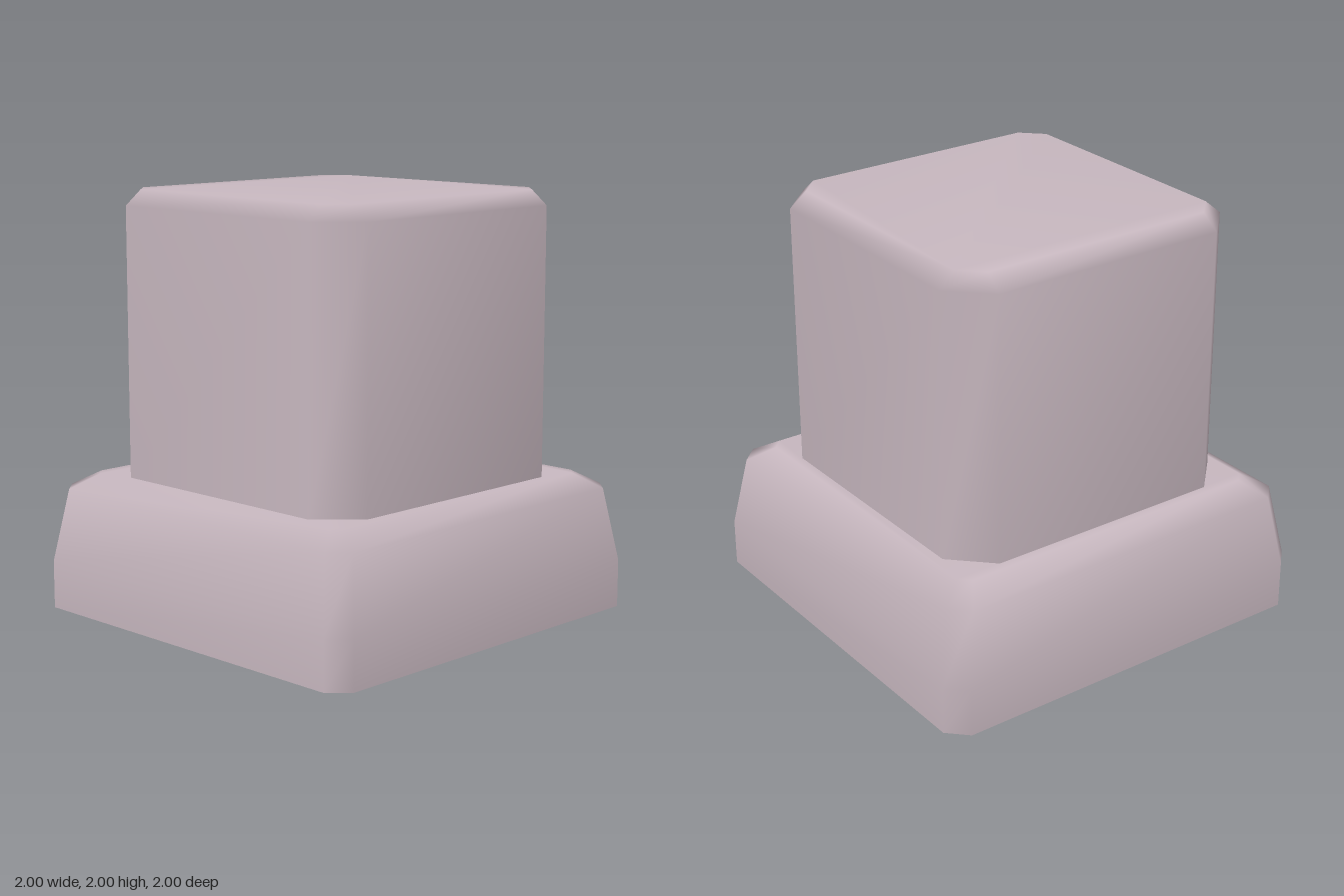
import * as THREE from 'three';

// Square outline with cut corners: half = half width, cut = corner cut
function outline(half, cut) {
  const k = half - cut;
  return [[half, -k], [half, k], [k, half], [-k, half], [-half, k], [-half, -k], [-k, -half], [k, -half]];
}

// Stack of outlines with smooth sides and top, and a hard-edged flat bottom
function bevelledBlock(rings) {
  const pos = [], idx = [], n = 8;
  const addRing = ([y, half, cut]) => outline(half, cut).forEach(([x, z]) => pos.push(x, y, z));
  rings.forEach(addRing);
  for (let r = 0; r < rings.length - 1; r++) {
    for (let i = 0; i < n; i++) {
      const a = r * n + i, b = r * n + (i + 1) % n;
      idx.push(a, a + n, b, b, a + n, b + n);
    }
  }
  const top = (rings.length - 1) * n, bottom = rings.length * n;
  addRing(rings[0]);
  for (let i = 1; i < n - 1; i++) {
    idx.push(top, top + i + 1, top + i);
    idx.push(bottom, bottom + i, bottom + i + 1);
  }
  const geo = new THREE.BufferGeometry();
  geo.setAttribute('position', new THREE.Float32BufferAttribute(pos, 3));
  geo.setIndex(idx);
  geo.computeVertexNormals();
  return geo;
}

export function createModel() {
  const group = new THREE.Group();
  group.name = 'steppedBlock';
  const stone = new THREE.MeshStandardMaterial({ color: 0xc8b8c0 });
  stone.name = 'pale mauve stone';

  // Wide tapered foot: [y, half width, corner cut]
  const base = new THREE.Mesh(bevelledBlock([
    [0, 1, 0.09], [0.23, 1, 0.09], [0.58, 0.94, 0.085], [0.65, 0.82, 0.05],
  ]), stone);
  base.name = 'base';

  // Upright block with bevelled corners and top
  const block = new THREE.Mesh(bevelledBlock([
    [0.64, 0.775, 0.18], [1.93, 0.775, 0.18], [2, 0.69, 0.1],
  ]), stone);
  block.name = 'upperBlock';

  group.add(base, block);
  return group;
}
